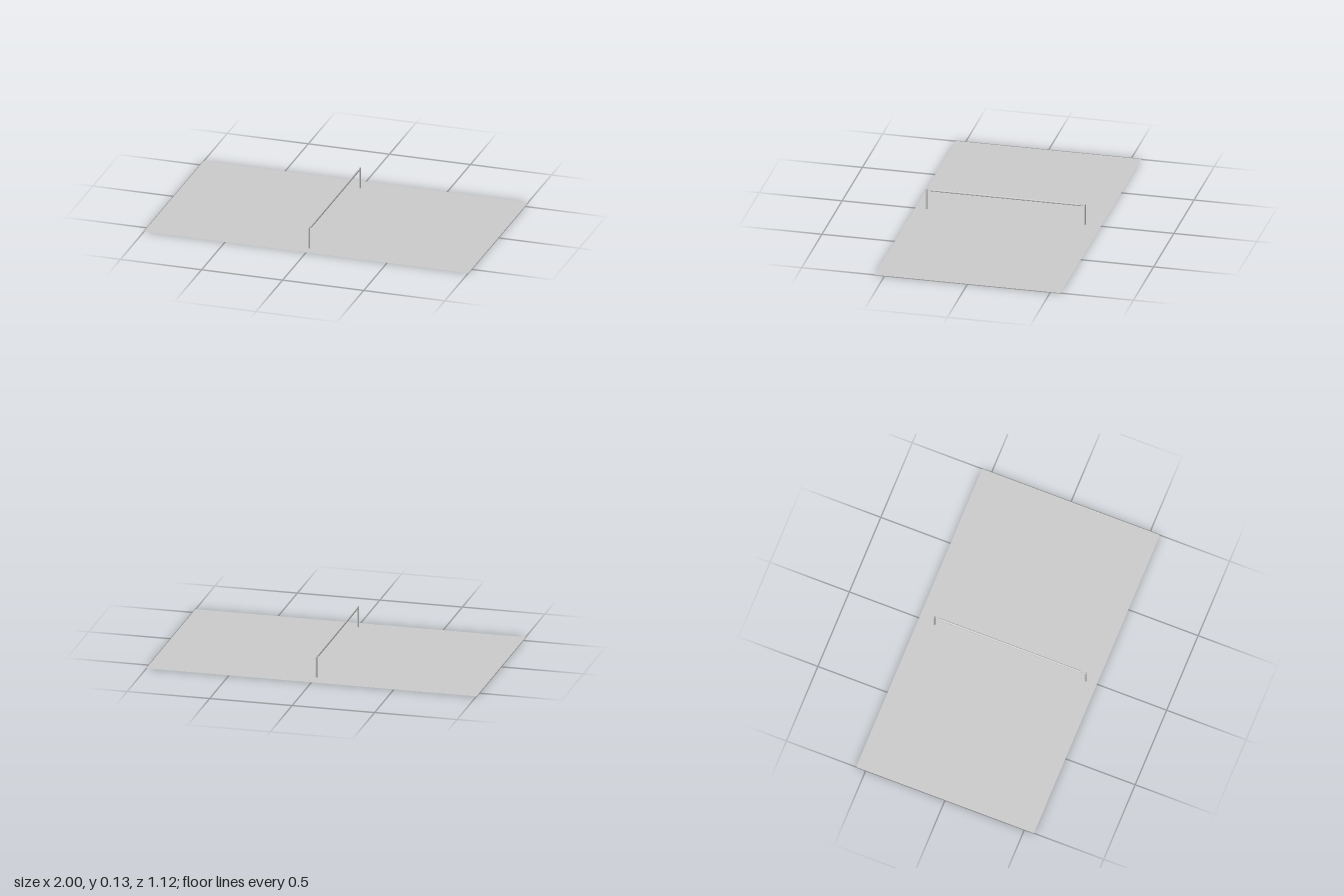
import * as THREE from 'three';

const grey = new THREE.MeshStandardMaterial({ color: 0xcccccc, side: THREE.DoubleSide });

export function createModel() {
  const court = new THREE.Group();
  court.name = 'tennisCourt';
  const add = (name, geometry, x, y, z) => {
    const mesh = new THREE.Mesh(geometry, grey);
    mesh.name = name;
    mesh.position.set(x, y, z);
    court.add(mesh);
    return mesh;
  };

  // Flat rectangle given by its x and z limits
  const strip = (name, x0, x1, z0, z1, y) =>
    add(name, new THREE.PlaneGeometry(x1 - x0, z1 - z0).rotateX(-Math.PI / 2),
      (x0 + x1) / 2, y, (z0 + z1) / 2);

  strip('ground', -1, 1, -0.56, 0.56, 0);

  // Painted lines, just above the ground
  const w = 0.01, y = 0.002;
  for (const z of [-0.555, 0.552]) strip('doublesSideline', -1, 1, z - w / 2, z + w / 2, y);
  for (const z of [-0.441, 0.412]) strip('singlesSideline', -1, 1, z - w / 2, z + w / 2, y);
  for (const s of [-1, 1]) {
    strip('baseline', s * 0.995 - w / 2, s * 0.995 + w / 2, -0.55, 0.547, y);
    strip('serviceLine', s * 0.5 - w / 2, s * 0.5 + w / 2, -0.436, 0.407, y);
    strip('centreMark', s * 0.975 - 0.015, s * 0.975 + 0.015, -0.008, 0.001, y);
  }
  strip('centreServiceLine', -0.495, 0.495, -0.009, 0.001, y);

  // Net posts with rounded tops
  const r = 0.006, netX = -0.004;
  const post = [[0, 0], [r, 0], [r, 0.126], [r * 0.7, 0.13], [0, 0.132]];
  const postGeometry = new THREE.LatheGeometry(post.map(p => new THREE.Vector2(...p)), 16);
  for (const z of [0.491, -0.463]) add('netPost', postGeometry, netX, 0, z);

  // Net tape and the thin cord holding it between the posts
  const rod = (name, radius, length) =>
    add(name, new THREE.CylinderGeometry(radius, radius, length, 12).rotateX(Math.PI / 2),
      netX, 0.122, 0.014);
  rod('netTape', 0.0065, 0.9);
  rod('netCord', 0.001, 0.95);

  return court;
}
